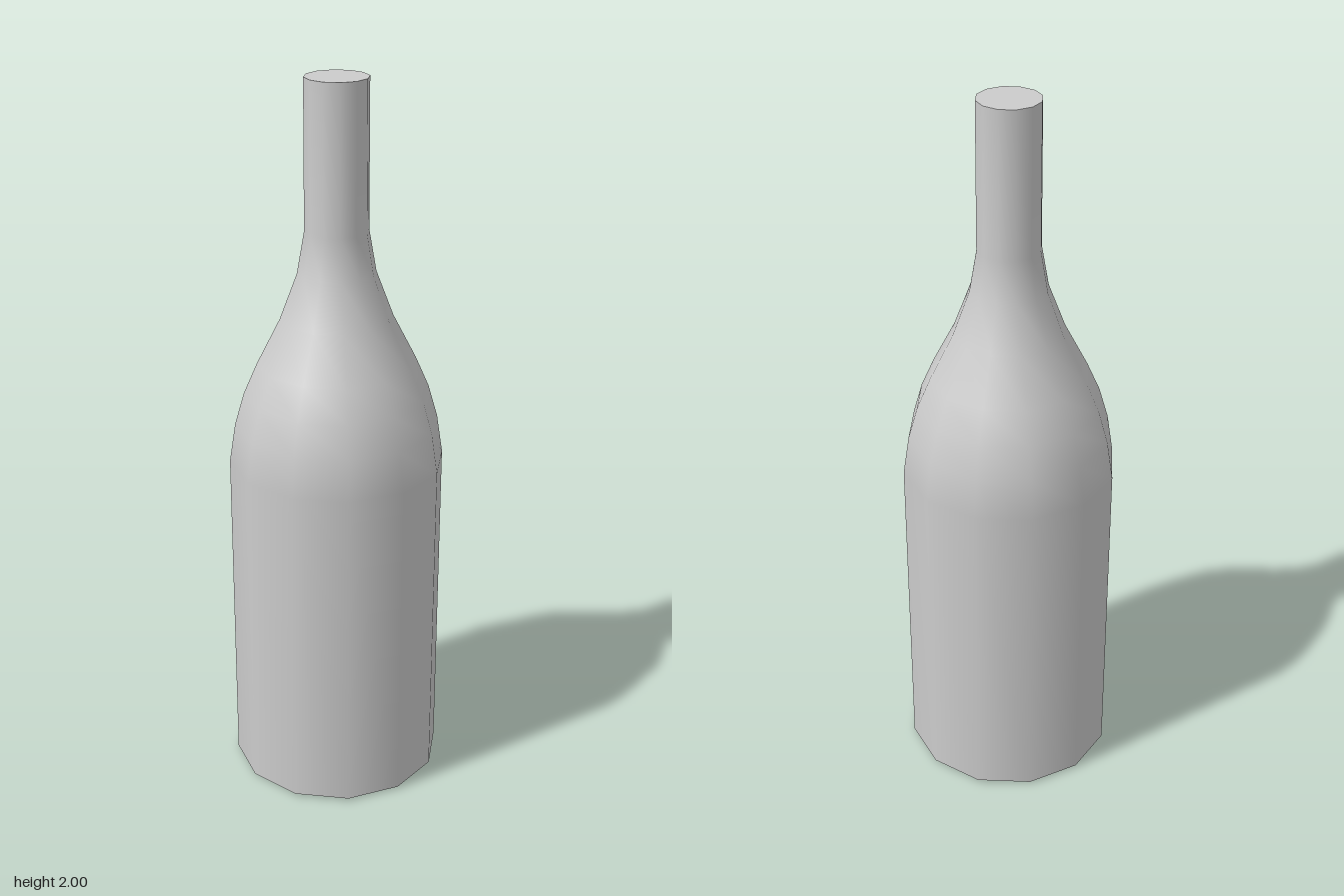
import * as THREE from 'three';

const SIDES = 12;

export function createModel() {
  const model = new THREE.Group();
  model.name = 'bottle';
  const material = new THREE.MeshStandardMaterial({ color: 0xcccccc });

  // Turn a profile of [radius, height] pairs about the y axis
  const turn = (name, profile) => {
    const points = profile.map(([r, y]) => new THREE.Vector2(r, y));
    const mesh = new THREE.Mesh(new THREE.LatheGeometry(points, SIDES), material);
    mesh.name = name;
    model.add(mesh);
  };

  // Smooth wall: straight body, curved shoulder, slim neck
  turn('bodyAndNeck', [
    [0.297, 0.007], [0.297, 0.95], [0.28, 1.06], [0.254, 1.15], [0.217, 1.235],
    [0.153, 1.36], [0.106, 1.485], [0.086, 1.6], [0.085, 2],
  ]);

  // Flat closed mouth
  turn('mouthCap', [[0.085, 2], [0, 2]]);

  // Shallow hollow base with a narrow bevelled foot
  turn('base', [[0, 0.02], [0.28, 0]]);
  turn('footBevel', [[0.28, 0], [0.297, 0.007]]);

  return model;
}
